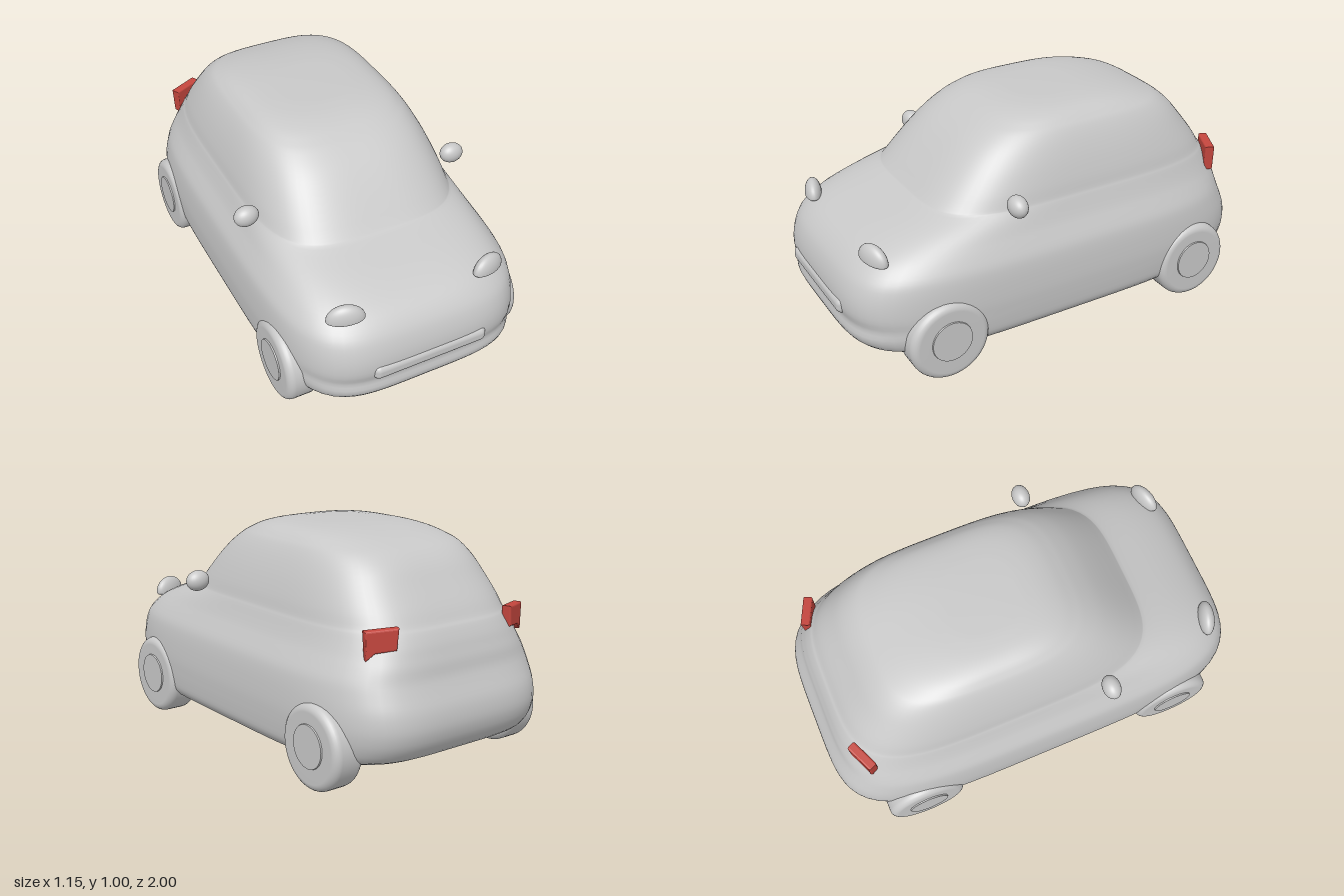
import * as THREE from 'three';
import { RoundedBoxGeometry } from 'three/addons/geometries/RoundedBoxGeometry.js';

const grey = new THREE.MeshStandardMaterial({ color: 0xc8c8c8 });
grey.name = 'body grey';
const red = new THREE.MeshStandardMaterial({ color: 0xc4463e });
red.name = 'tail light red';

// Body levels: height, front z, back z, half width, squareness of the outline
const LEVELS = [
  [0.118, 0.87, -0.85, 0.525, 4.6],
  [0.15, 0.95, -0.93, 0.548, 4.6],
  [0.2, 0.985, -0.975, 0.556, 4.6],
  [0.25, 0.978, -0.995, 0.56, 4.6],
  [0.3, 0.99, -1.0, 0.562, 4.6],
  [0.36, 0.988, -0.99, 0.56, 4.6],
  [0.42, 0.972, -0.965, 0.555, 4.6],
  [0.47, 0.945, -0.945, 0.545, 4.6],
  [0.52, 0.895, -0.935, 0.522, 4.5],
  [0.56, 0.825, -0.922, 0.502, 4.4],
  [0.6, 0.725, -0.908, 0.486, 4.2],
  [0.645, 0.585, -0.885, 0.47, 4],
  [0.665, 0.555, -0.868, 0.462, 4],
  [0.72, 0.505, -0.835, 0.45, 3.9],
  [0.8, 0.43, -0.775, 0.425, 3.8],
  [0.87, 0.355, -0.72, 0.396, 3.7],
  [0.92, 0.285, -0.66, 0.368, 3.6],
  [0.945, 0.24, -0.6, 0.345, 3.5],
  [0.97, 0.185, -0.51, 0.312, 3.3],
  [0.988, 0.115, -0.4, 0.255, 3],
  [0.997, 0.03, -0.29, 0.16, 2.8],
];

// Loft of rounded-rectangle rings, closed by a flat floor and a roof centre
function bodyGeometry() {
  const curve = (a, b, c) => new THREE.CatmullRomCurve3(
    LEVELS.map((l) => new THREE.Vector3(l[a], l[b], l[c])), false, 'catmullrom', 0.5);
  const lengthwise = curve(0, 1, 2), crosswise = curve(0, 3, 4);
  const rings = (LEVELS.length - 1) * 3, segs = 112;
  const pos = [], idx = [];

  const addRing = (t) => {
    const p = lengthwise.getPoint(t), q = crosswise.getPoint(t);
    const mid = (p.y + p.z) / 2, half = (p.y - p.z) / 2;
    for (let j = 0; j < segs; j++) {
      const a = (j / segs) * Math.PI * 2, c = Math.cos(a), s = Math.sin(a);
      const r = Math.pow(Math.abs(c) ** q.z + Math.abs(s) ** q.z, -1 / q.z);
      pos.push(c * r * q.y, p.x, mid + s * r * half);
    }
  };

  for (let i = 0; i <= rings; i++) addRing(i / rings);
  for (let i = 0; i < rings; i++) {
    for (let j = 0; j < segs; j++) {
      const k = (j + 1) % segs;
      const a = i * segs + j, b = i * segs + k;
      idx.push(a, a + segs, b, b, a + segs, b + segs);
    }
  }

  const roof = pos.length / 3;
  pos.push(0, 1, -0.13);
  for (let j = 0; j < segs; j++) idx.push(rings * segs + j, roof, rings * segs + (j + 1) % segs);

  // The floor has its own ring so that its edge stays sharp
  const floor = pos.length / 3;
  addRing(0);
  const middle = pos.length / 3;
  pos.push(0, 0.115, 0);
  for (let j = 0; j < segs; j++) idx.push(floor + j, floor + (j + 1) % segs, middle);

  const g = new THREE.BufferGeometry();
  g.setAttribute('position', new THREE.Float32BufferAttribute(pos, 3));
  g.setIndex(idx);
  g.computeVertexNormals();
  return g;
}

// Round-shouldered tyre, turned so that its axle lies along x
function tyreGeometry() {
  const R = 0.183, h = 0.073, e = 0.034;
  const pts = [new THREE.Vector2(0, -h), new THREE.Vector2(0.1, -h)];
  for (const side of [-1, 1]) {
    for (let i = 0; i <= 6; i++) {
      const a = side < 0 ? -Math.PI / 2 + (i / 6) * Math.PI / 2 : (i / 6) * Math.PI / 2;
      pts.push(new THREE.Vector2(R - e + Math.cos(a) * e, side * (h - e) + Math.sin(a) * e));
    }
  }
  pts.push(new THREE.Vector2(0.1, h), new THREE.Vector2(0, h));
  return new THREE.LatheGeometry(pts, 48).rotateZ(-Math.PI / 2);
}

// Domed lamp: an ellipsoid with a flattened underside
function headlightGeometry() {
  const g = new THREE.SphereGeometry(1, 32, 24);
  const p = g.attributes.position;
  for (let i = 0; i < p.count; i++) {
    const y = p.getY(i);
    p.setXYZ(i, p.getX(i) * 0.082, y * (y > 0 ? 0.068 : 0.022), p.getZ(i) * 0.038);
  }
  g.computeVertexNormals();
  return g;
}

// Tail light plate, deeper on its outer side
function tailLightGeometry(s) {
  const shape = new THREE.Shape([[-0.062, 0.052], [0.062, 0.045], [0.058, -0.055], [0.03, -0.03], [-0.055, -0.022]]
    .map(([x, y]) => new THREE.Vector2(x * s, y)));
  return new THREE.ExtrudeGeometry(shape, {
    depth: 0.026, bevelEnabled: true, bevelThickness: 0.008, bevelSize: 0.008, bevelSegments: 3,
  }).translate(0, 0, -0.013);
}

export function createModel() {
  const car = new THREE.Group();
  car.name = 'car';
  const add = (name, geometry, material, x, y, z) => {
    const m = new THREE.Mesh(geometry, material);
    m.name = name;
    m.position.set(x, y, z);
    car.add(m);
    return m;
  };

  add('body', bodyGeometry(), grey, 0, 0, 0);
  add('grille', new RoundedBoxGeometry(0.535, 0.072, 0.06, 5, 0.028), grey, 0, 0.304, 0.97);

  const tyre = tyreGeometry();
  const hub = new THREE.CylinderGeometry(0.092, 0.095, 0.012, 40).rotateZ(-Math.PI / 2);
  const lamp = headlightGeometry();
  const mirror = new THREE.SphereGeometry(1, 28, 20).scale(0.056, 0.047, 0.041);

  for (const [s, side] of [[1, 'left'], [-1, 'right']]) {
    for (const [z, end] of [[0.623, 'Front'], [-0.647, 'Rear']]) {
      add(`${side}${end}Wheel`, tyre, grey, s * 0.494, 0.183, z);
      const cap = add(`${side}${end}Hub`, hub, grey, s * 0.567, 0.19, z);
      if (s < 0) cap.rotation.y = Math.PI;
    }
    add(`${side}Mirror`, mirror, grey, s * 0.507, 0.702, 0.275).rotation.z = -s * 0.1;
    add(`${side}Headlight`, lamp, grey, s * 0.336, 0.538, 0.855).rotation.set(0, s * 0.3, -s * 0.06);
    add(`${side}TailLight`, tailLightGeometry(s), red, s * 0.363, 0.623, -0.842).rotation.y = -s * 0.42;
  }
  return car;
}
